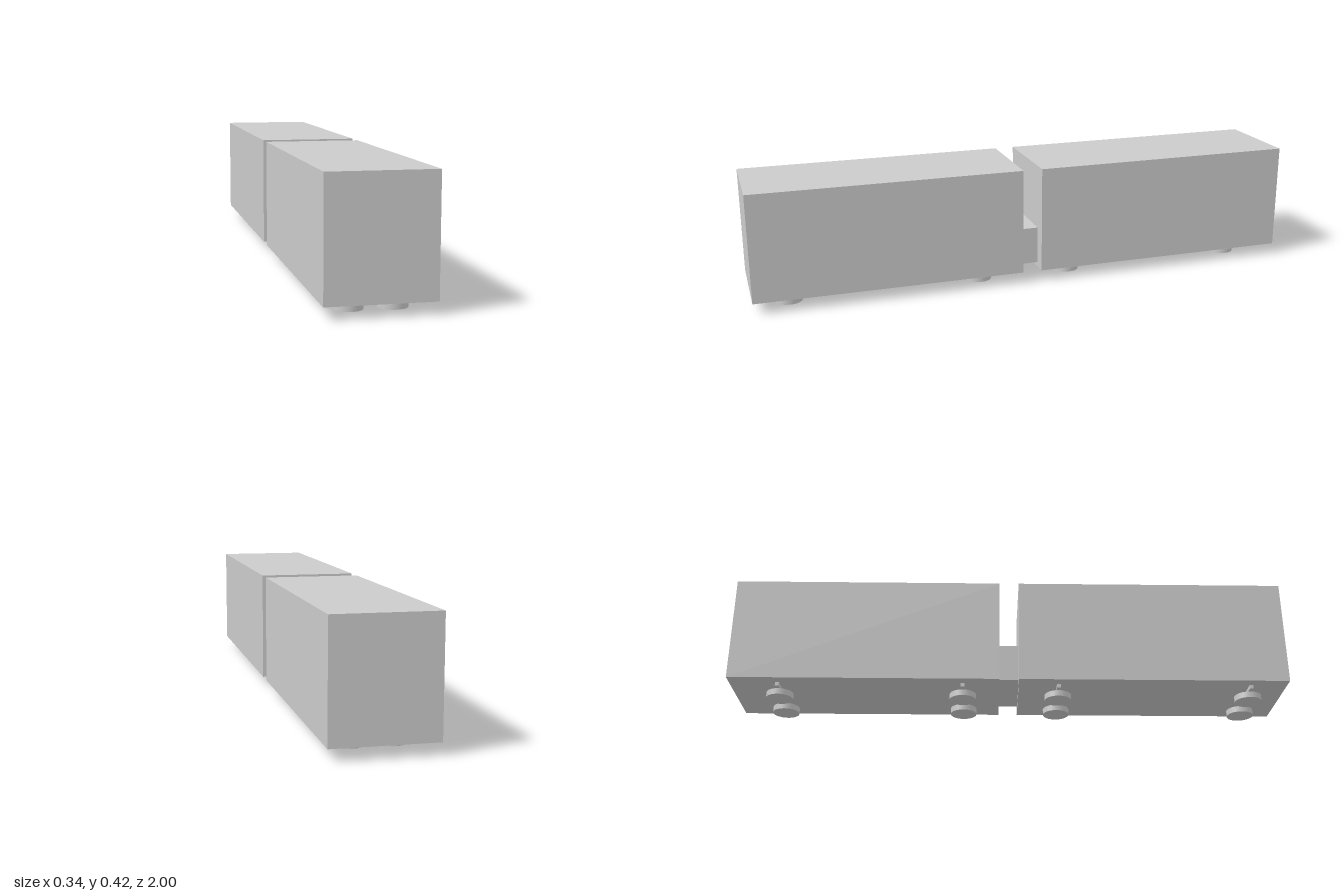
import * as THREE from 'three';

export function createModel() {
  const model = new THREE.Group();
  const material = new THREE.MeshStandardMaterial({ color: 0xcccccc });

  const add = (name, geometry, x, y, z, parent = model) => {
    const mesh = new THREE.Mesh(geometry, material);
    mesh.name = name;
    mesh.position.set(x, y, z);
    parent.add(mesh);
    return mesh;
  };

  // Two car bodies with a gap between them
  const body = new THREE.BoxGeometry(0.344, 0.385, 0.965);
  add('frontCarBody', body, 0, 0.232, 0.5175);
  add('rearCarBody', body, 0, 0.232, -0.5175);

  // Link bridging the gap
  add('coupling', new THREE.BoxGeometry(0.252, 0.135, 0.07), 0, 0.1235, 0);

  // Four axles, each with a pair of flat-lying wheels
  const axle = new THREE.BoxGeometry(0.277, 0.0135, 0.0135);
  const wheel = new THREE.CylinderGeometry(0.048, 0.048, 0.0214, 32);
  for (const z of [0.869, 0.178, -0.166, -0.826]) {
    const wheelset = new THREE.Group();
    wheelset.name = 'wheelset';
    wheelset.position.z = z;
    add('axle', axle, 0, 0.0298, 0, wheelset);
    add('leftWheel', wheel, 0.069, 0.0107, 0, wheelset);
    add('rightWheel', wheel, -0.069, 0.0107, 0, wheelset);
    model.add(wheelset);
  }

  return model;
}
